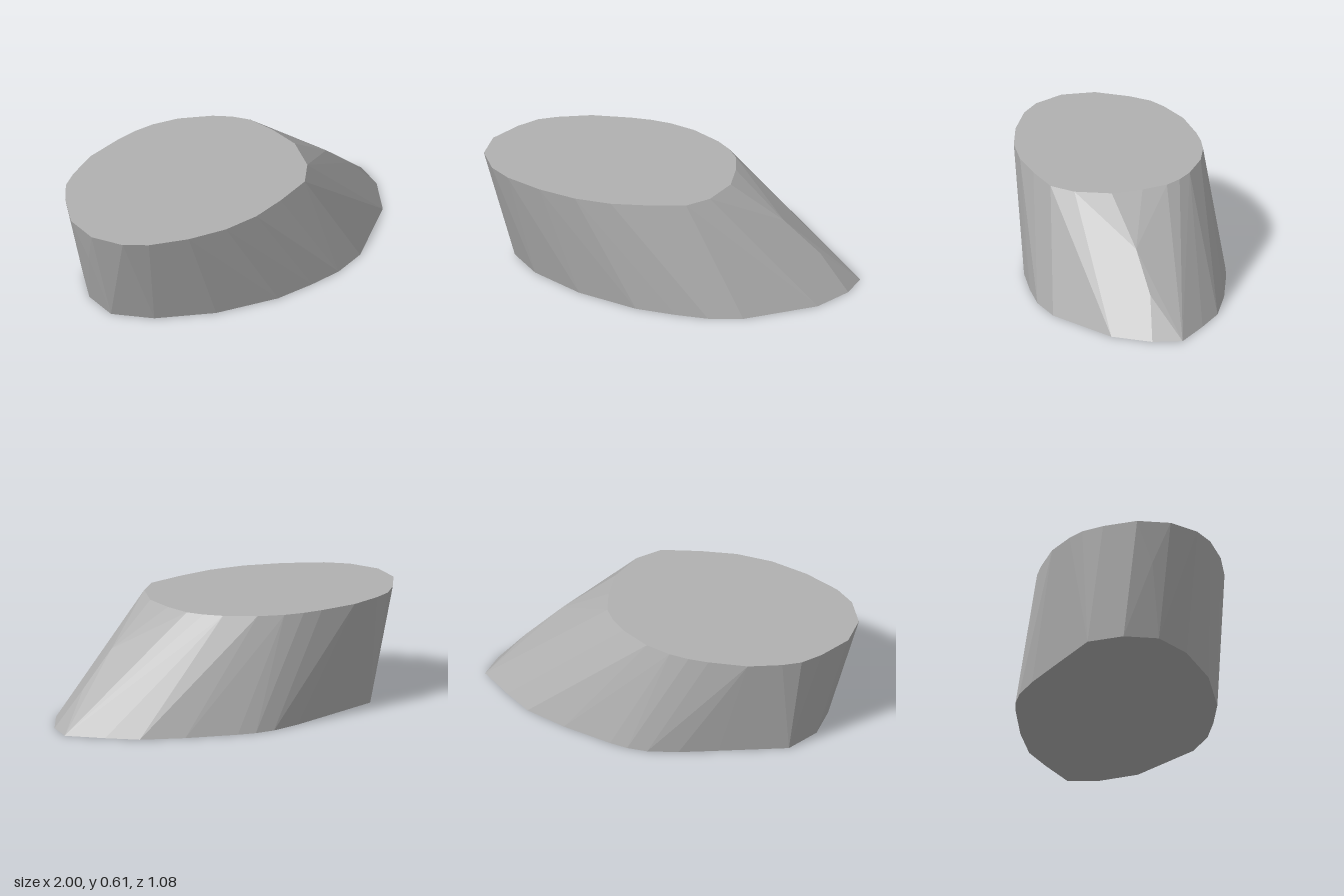
import * as THREE from 'three';
import { ConvexGeometry } from 'three/addons/geometries/ConvexGeometry.js';

const HEIGHT = 0.605;

// Flat top outline as [x, z]
const topOutline = [
  [-1, -0.04], [-0.91, -0.21], [-0.83, -0.31], [-0.74, -0.365], [-0.57, -0.435],
  [-0.36, -0.465], [-0.25, -0.47], [-0.14, -0.46], [0, -0.42], [0.16, -0.33],
  [0.24, -0.26], [0.3, -0.18], [0.34, -0.04], [0.36, 0.13], [0.3, 0.32],
  [0.2, 0.43], [0, 0.485], [-0.19, 0.52], [-0.39, 0.515], [-0.6, 0.465],
  [-0.8, 0.38], [-0.91, 0.295], [-1, 0.14],
];

// Flat base outline as [x, z], shifted towards +x
const baseOutline = [
  [1, -0.13], [0.98, 0.03], [0.87, 0.23], [0.53, 0.48], [0.35, 0.53], [0.17, 0.535],
  [-0.05, 0.525], [-0.39, 0.43], [-0.68, 0.27], [-0.84, 0.1], [-0.84, -0.09],
  [-0.745, -0.27], [-0.4, -0.41], [-0.2, -0.49], [-0.04, -0.535], [0.07, -0.54],
  [0.17, -0.525], [0.45, -0.46], [0.68, -0.38], [0.83, -0.27],
];

// Slight bulges on the sloping ends
const bulges = [[0.63, 0.39, 0.05], [0.82, 0.2, 0.01], [-0.95, 0.39, 0.05]];

export function createModel() {
  const group = new THREE.Group();
  group.name = 'slantedBlock';

  const grey = new THREE.MeshStandardMaterial({ color: 0xb0b0b0 });
  grey.name = 'grey';

  const ring = (outline, y) => outline.map(([x, z]) => new THREE.Vector3(x, y, z));
  const points = [
    ...ring(topOutline, HEIGHT),
    ...ring(baseOutline, 0),
    ...bulges.map((p) => new THREE.Vector3(...p)),
  ];

  // Faceted skin stretched between the two outlines
  const body = new THREE.Mesh(new ConvexGeometry(points), grey);
  body.name = 'body';
  group.add(body);
  return group;
}
